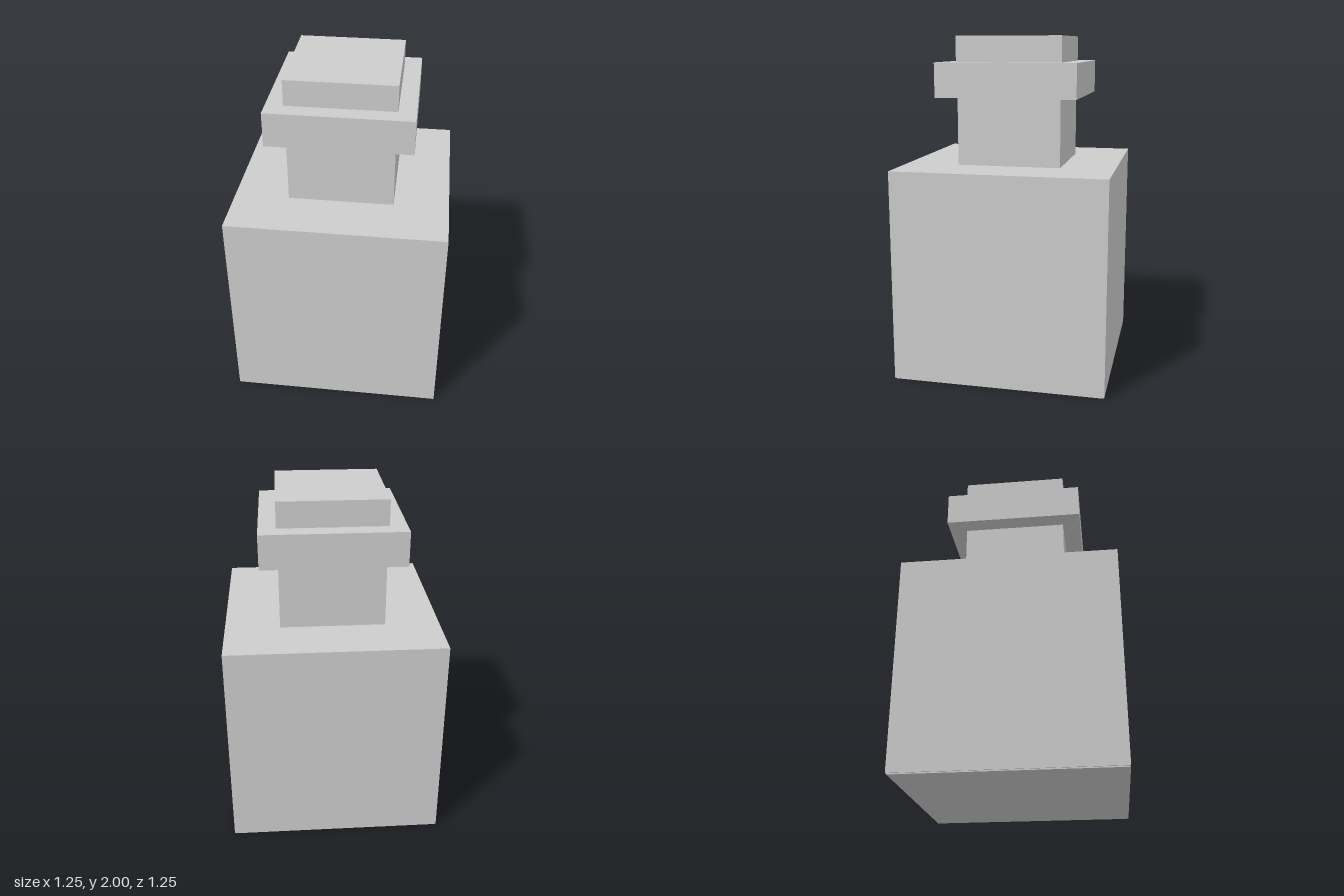
import * as THREE from 'three';

export function createModel() {
  const group = new THREE.Group();
  const grey = new THREE.MeshStandardMaterial({ color: 0xcccccc });
  grey.name = 'light grey';

  // Stacked square blocks: name, width, bottom, top
  const blocks = [
    ['basePlate', 1.234, 0, 0.007],
    ['body', 1.245, 0.007, 1.25],
    ['neck', 0.61, 1.25, 1.65],
    ['lip', 0.82, 1.65, 1.85],
    ['stopper', 0.62, 1.85, 2],
  ];
  for (const [name, width, bottom, top] of blocks) {
    const block = new THREE.Mesh(new THREE.BoxGeometry(width, top - bottom, width), grey);
    block.name = name;
    block.position.y = (bottom + top) / 2;
    group.add(block);
  }
  return group;
}
